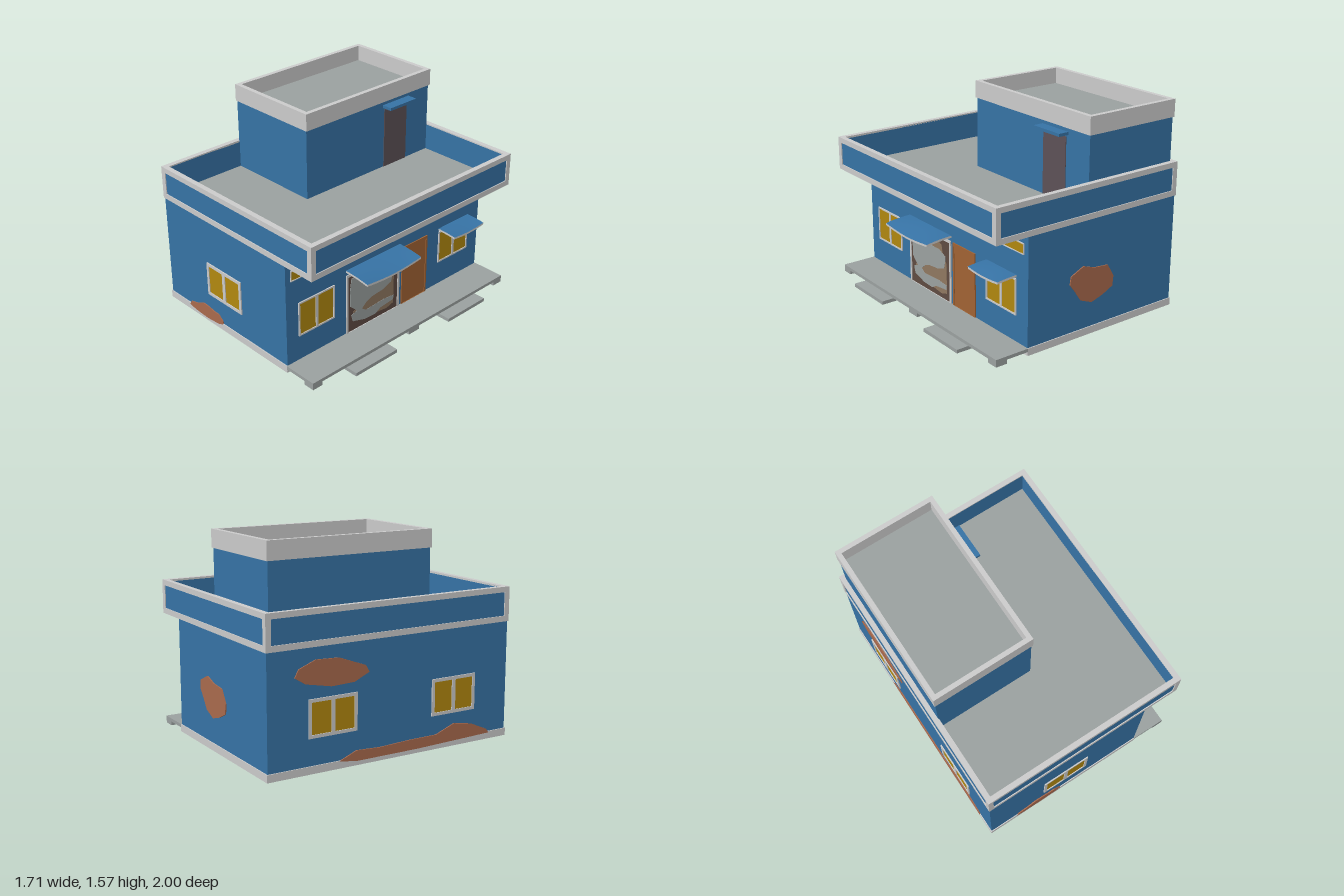
import * as THREE from 'three';

const mat = (name, color, side = THREE.FrontSide) =>
  Object.assign(new THREE.MeshStandardMaterial({ color, side }), { name });

export function createModel() {
  const blue = mat('blue paint', 0x3672a4), trim = mat('light trim', 0xcacaca);
  const concrete = mat('concrete', 0x9aa09f), glass = mat('amber glass', 0xb0870f);
  const brick = mat('exposed brick', 0xa8694c), wood = mat('door wood', 0xa06233);
  const shutterBrown = mat('shutter brown', 0x5f4b42), tan = mat('tan stain', 0x8f7760);
  const darkDoor = mat('dark door', 0x5c5156);

  const model = new THREE.Group();
  model.name = 'house';

  const add = (parent, name, geo, material) => {
    const m = new THREE.Mesh(geo, material);
    m.name = name;
    parent.add(m);
    return m;
  };
  // Box given by its min and max corners
  const box = (name, material, x0, x1, y0, y1, z0, z1, parent = model) => {
    const m = add(parent, name, new THREE.BoxGeometry(x1 - x0, y1 - y0, z1 - z0), material);
    m.position.set((x0 + x1) / 2, (y0 + y1) / 2, (z0 + z1) / 2);
    return m;
  };
  const rect = (u0, u1, v0, v1) => [[u0, v0], [u1, v0], [u1, v1], [u0, v1]];
  const toShape = (pts, holes = []) => {
    const s = new THREE.Shape(pts.map(p => new THREE.Vector2(...p)));
    for (const h of holes) s.holes.push(new THREE.Path(h.map(p => new THREE.Vector2(...p))));
    return s;
  };
  // Thin plate on a wall
  const plate = (wall, name, material, pts, depth, holes) =>
    add(wall, name, new THREE.ExtrudeGeometry(toShape(pts, holes), { depth, bevelEnabled: false }), material);
  // Horizontal rectangular ring with a wall thickness t
  const ring = (name, material, x0, x1, y0, y1, z0, z1, t) => {
    const shape = toShape(rect(x0, x1, -z1, -z0), [rect(x0 + t, x1 - t, -z1 + t, -z0 - t)]);
    const m = add(model, name, new THREE.ExtrudeGeometry(shape, { depth: y1 - y0, bevelEnabled: false }), material);
    m.rotation.x = -Math.PI / 2;
    m.position.y = y0;
  };
  // Wall frames: local x runs along the wall, local z points outwards
  const wallAt = (name, x, z, angle) => {
    const g = new THREE.Group();
    g.name = name;
    g.position.set(x, 0, z);
    g.rotation.y = angle;
    model.add(g);
    return g;
  };
  const H = Math.PI / 2;
  const front = wallAt('frontWall', 0, 0.993, 0);
  const back = wallAt('backWall', 0, -0.993, Math.PI);
  const street = wallAt('streetWall', 0.49, 0, H);      // local x = -z
  const side = wallAt('sideWall', -0.848, 0, -H);       // local x = z

  // Main body, plinth strip and roof slab
  box('body', blue, -0.848, 0.49, 0, 0.87, -0.993, 0.993);
  plate(front, 'plinth', trim, rect(-0.855, 0.49, 0, 0.055), 0.007);
  plate(back, 'plinth', trim, rect(-0.49, 0.855, 0, 0.055), 0.007);
  plate(side, 'plinth', trim, rect(-1, 1, 0, 0.055), 0.007);
  plate(street, 'plinth', trim, rect(-0.993, 0.993, 0, 0.03), 0.004);
  box('roofSlab', blue, -0.846, 0.75, 0.862, 0.892, -0.99, 0.99);
  box('roofFloor', concrete, -0.82, 0.72, 0.892, 0.9, -0.96, 0.96);

  // Parapet with framed panels and coping
  ring('parapet', blue, -0.848, 0.753, 0.865, 1.105, -0.993, 0.993, 0.033);
  ring('coping', trim, -0.855, 0.76, 1.1, 1.115, -1, 1, 0.04);
  const panelFrame = (wall, u0, u1) => plate(wall, 'parapetFrame', trim, rect(u0, u1, 0.86, 1.1), 0.007,
    [rect(u0 + 0.04, u1 - 0.04, 0.902, 1.075)]);
  panelFrame(front, -0.855, 0.76);
  panelFrame(back, -0.76, 0.855);
  panelFrame(side, -1, 1);
  panelFrame(wallAt('parapetStreetSide', 0.753, 0, H), -1, 1);

  // Rooftop room with door, canopy and cap
  box('roofRoom', blue, -0.82, -0.05, 0.89, 1.44, -0.96, 0.305);
  ring('roofRoomCap', trim, -0.828, -0.04, 1.44, 1.57, -0.97, 0.312, 0.035);
  box('roofRoomFloor', concrete, -0.8, -0.07, 1.438, 1.448, -0.95, 0.285);
  box('roofRoomDoor', darkDoor, -0.052, -0.045, 0.9, 1.375, -0.72, -0.48);
  box('roofRoomCanopy', blue, -0.05, 0.032, 1.39, 1.412, -0.74, -0.465);

  // Windows with two panes
  const makeWindow = (wall, u0, u1, v0, v1, border, gap) => {
    const g = new THREE.Group();
    g.name = 'window';
    wall.add(g);
    const mid = (u0 + u1) / 2;
    plate(g, 'windowFrame', trim, rect(u0, u1, v0, v1), 0.009, [
      rect(u0 + border, mid - gap, v0 + border, v1 - border),
      rect(mid + gap, u1 - border, v0 + border, v1 - border)]);
    plate(g, 'windowGlass', glass, rect(u0 + border, u1 - border, v0 + border, v1 - border), 0.003);
  };
  makeWindow(front, -0.375, 0.01, 0.245, 0.513, 0.023, 0.015);
  for (const u of [-0.495, 0.51]) makeWindow(side, u - 0.19, u + 0.19, 0.245, 0.513, 0.023, 0.015);
  makeWindow(street, -0.885, -0.55, 0.252, 0.522, 0.012, 0.011);
  makeWindow(street, 0.535, 0.87, 0.252, 0.522, 0.012, 0.011);

  // High strip windows
  for (const u of [-0.655, 0, 0.655]) {
    plate(street, 'stripFrame', trim, rect(u - 0.295, u + 0.295, 0.718, 0.8), 0.008,
      [rect(u - 0.288, u + 0.288, 0.725, 0.793)]);
    plate(street, 'stripGlass', glass, rect(u - 0.288, u + 0.288, 0.725, 0.793), 0.003);
  }

  // Shutter with worn patches
  plate(street, 'shutterFrame', trim, rect(-0.435, 0.108, 0.055, 0.545), 0.009, [rect(-0.418, 0.09, 0.056, 0.525)]);
  plate(street, 'shutter', shutterBrown, rect(-0.418, 0.09, 0.055, 0.525), 0.003);
  plate(street, 'tanPatch', tan, [[-0.2, 0.505], [-0.09, 0.51], [-0.01, 0.475], [0, 0.42], [0.05, 0.34], [0.05, 0.11],
    [-0.02, 0.09], [-0.2, 0.11], [-0.36, 0.18], [-0.36, 0.215], [-0.3, 0.26], [-0.22, 0.4]], 0.005);
  plate(street, 'palePatch', concrete, [[-0.385, 0.5], [-0.21, 0.505], [-0.19, 0.475], [-0.165, 0.435], [-0.04, 0.435],
    [0.035, 0.4], [0.035, 0.36], [0.02, 0.305], [-0.06, 0.275], [-0.17, 0.265], [-0.23, 0.245], [-0.28, 0.205],
    [-0.24, 0.175], [-0.05, 0.185], [0.05, 0.175], [0.045, 0.14], [-0.09, 0.125], [-0.14, 0.095],
    [-0.25, 0.1], [-0.37, 0.135], [-0.385, 0.19], [-0.33, 0.21], [-0.395, 0.27], [-0.4, 0.4]], 0.007);

  // Entrance door
  plate(street, 'doorFrame', wood, rect(0.135, 0.405, 0.055, 0.545), 0.009, [rect(0.15, 0.39, 0.056, 0.522)]);
  plate(street, 'doorLeaf', wood, rect(0.15, 0.39, 0.055, 0.522), 0.004);

  // Sagging canopies
  const canopy = (z0, z1, depth, top, drop, sag) => {
    const geo = new THREE.BoxGeometry(depth, 0.016, z1 - z0, 6, 1, 14).translate(depth / 2, -0.008, 0);
    const p = geo.attributes.position;
    for (let i = 0; i < p.count; i++) {
      const t = p.getX(i) / depth, s = p.getZ(i) / (z1 - z0) + 0.5;
      p.setY(i, p.getY(i) - drop * t * t - sag * t * Math.sin(Math.PI * s));
    }
    geo.computeVertexNormals();
    add(model, 'canopy', geo, [trim, blue, blue, blue, trim, trim]).position.set(0.49, top, (z0 + z1) / 2);
  };
  canopy(-0.11, 0.435, 0.212, 0.587, 0.02, 0.02);
  canopy(-0.87, -0.535, 0.16, 0.548, 0.012, 0.012);

  // Walkway, supports and steps
  box('walkway', concrete, 0.49, 0.76, 0.03, 0.055, -1, 1);
  for (const [z0, z1] of [[-1, -0.91], [-0.052, 0.055], [0.915, 1]])
    box('walkwaySupport', concrete, 0.67, 0.76, 0, 0.03, z0, z1);
  for (const s of [-1, 1]) box('step', concrete, 0.67, 0.852, 0, 0.027, s * 0.48 - 0.203, s * 0.48 + 0.203);

  // Patches of fallen plaster
  const patch = (wall, pts) => plate(wall, 'brickPatch', brick, pts, 0.008);
  patch(front, [[-0.62, 0.04], [-0.6, 0.075], [-0.52, 0.095], [-0.45, 0.13], [-0.38, 0.128], [-0.33, 0.115],
    [-0.27, 0.115], [-0.22, 0.075], [-0.22, 0.05], [-0.27, 0.032], [-0.4, 0.02], [-0.54, 0.027]]);
  patch(back, [[-0.12, 0.48], [-0.01, 0.53], [0.088, 0.496], [0.213, 0.485], [0.27, 0.39], [0.263, 0.315],
    [0.17, 0.27], [0.07, 0.24], [-0.03, 0.28], [-0.08, 0.355], [-0.13, 0.42]]);
  patch(side, [[-0.79, 0.67], [-0.76, 0.725], [-0.63, 0.775], [-0.45, 0.767], [-0.24, 0.69], [-0.21, 0.64],
    [-0.33, 0.586], [-0.51, 0.58], [-0.71, 0.62]]);
  patch(side, [[-0.45, 0.05], [-0.31, 0.105], [-0.12, 0.095], [0.14, 0.105], [0.36, 0.105], [0.52, 0.165],
    [0.68, 0.137], [0.82, 0.075], [0.84, 0.045], [0.2, 0.03], [-0.3, 0.03]]);

  return model;
}
